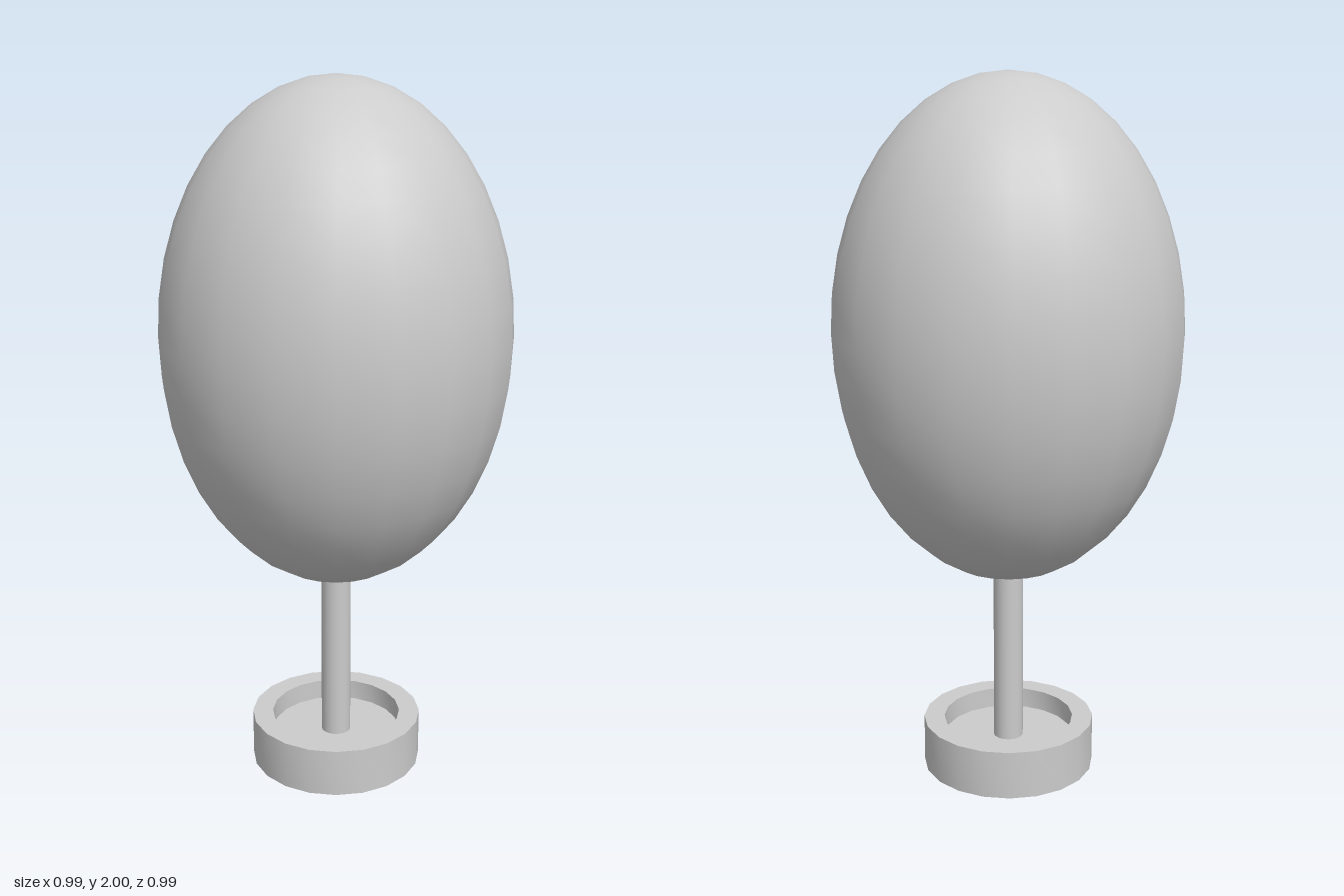
import * as THREE from 'three';
import { toCreasedNormals } from 'three/addons/utils/BufferGeometryUtils.js';

const SIDES = 20;

export function createModel() {
  const group = new THREE.Group();
  const material = new THREE.MeshStandardMaterial({ color: 0xcccccc });
  const add = (name, geometry, y = 0) => {
    const mesh = new THREE.Mesh(geometry, material);
    mesh.name = name;
    mesh.position.y = y;
    group.add(mesh);
    return mesh;
  };

  // Shallow round pot: closed underside, outer wall, rim, inner wall, recessed floor
  const potProfile = [[0, 0], [0.25, 0], [0.25, 0.14], [0.19, 0.14], [0.19, 0.08], [0, 0.08]]
    .map(([r, y]) => new THREE.Vector2(r, y));
  add('pot', toCreasedNormals(new THREE.LatheGeometry(potProfile, SIDES), 0.6));

  // Trunk from the pot floor up into the crown
  const bottom = 0.08, top = 0.62;
  add('trunk', new THREE.CylinderGeometry(0.043, 0.043, top - bottom, SIDES), (bottom + top) / 2);

  // Smooth egg-shaped crown
  const crown = new THREE.SphereGeometry(1, SIDES, SIDES);
  crown.scale(0.493, 0.707, 0.493);
  add('crown', crown, 1.293);

  return group;
}
